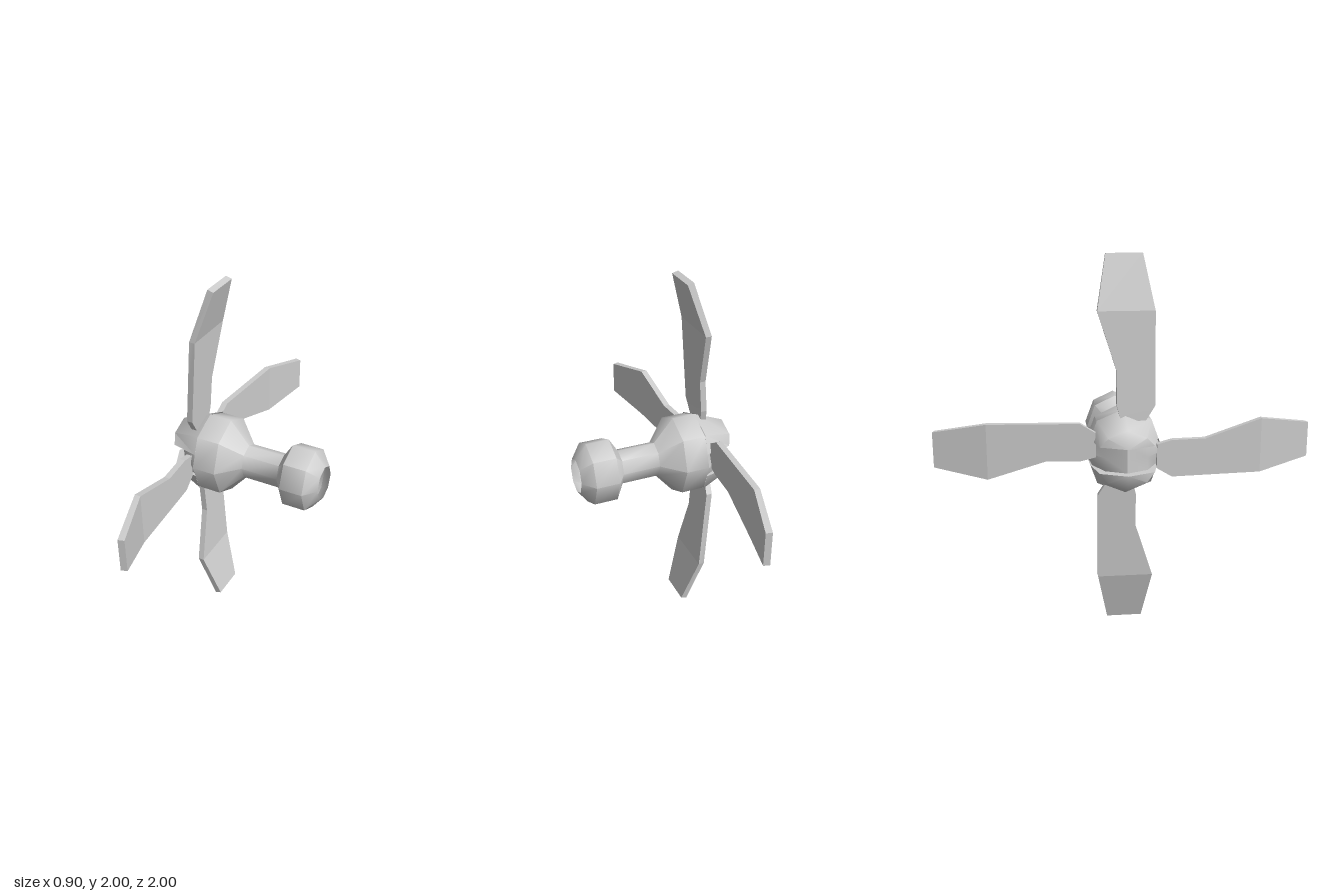
import * as THREE from 'three';
import { toCreasedNormals } from 'three/addons/utils/BufferGeometryUtils.js';

const material = new THREE.MeshStandardMaterial({ color: 0xcccccc, side: THREE.DoubleSide });
const SQUASH = 0.89; // the body is slightly narrower in z than in y
const SLOT = 0.07;   // half height of the nose slot

// Skins a list of cross-sections, each with the same number of [x, y, z] points.
function skin(rows, crease) {
  const positions = [];
  for (let i = 0; i < rows.length - 1; i++) {
    for (let j = 0; j < rows[i].length - 1; j++) {
      const a = rows[i][j], b = rows[i][j + 1], c = rows[i + 1][j + 1], d = rows[i + 1][j];
      positions.push(...a, ...b, ...c, ...a, ...c, ...d);
    }
  }
  const geometry = new THREE.BufferGeometry();
  geometry.setAttribute('position', new THREE.Float32BufferAttribute(positions, 3));
  return toCreasedNormals(geometry, crease);
}

function addMesh(parent, name, geometry) {
  const mesh = new THREE.Mesh(geometry, material);
  mesh.name = name;
  parent.add(mesh);
  return mesh;
}

// Eight-sided ring around the x axis
function ring(x, r) {
  return Array.from({ length: 9 }, (_, i) => {
    const a = (i % 8) * Math.PI / 4;
    return [x, r * Math.cos(a), -SQUASH * r * Math.sin(a)];
  });
}

// One propeller blade pointing up: stations of [radius, front edge z, back edge z, x]
function bladeGeometry() {
  const stations = [
    [0.16, 0.10, -0.03, -0.282], [0.24, 0.15, -0.05, -0.277],
    [0.42, 0.15, -0.05, -0.264], [0.72, 0.15, -0.145, -0.243], [0.995, 0.095, -0.095, -0.16],
  ];
  const t = 0.0165;
  const rows = stations.map(([r, z0, z1, x], i) => {
    const tilt = i === 4 ? 0.005 : 0;
    return [
      [x - t, r + tilt, z0], [x + t, r - tilt, z0], [x + t, r - tilt, z1],
      [x - t, r + tilt, z1], [x - t, r + tilt, z0],
    ];
  });
  // Close both ends by collapsing each end section onto its centre
  const cap = (row) => row.map(() => [0, 1, 2].map((k) => (row[0][k] + row[2][k]) / 2));
  return skin([cap(rows[0]), ...rows, cap(rows[4])], 0.2);
}

export function createModel() {
  const model = new THREE.Group();
  model.name = 'propeller';

  const body = new THREE.Group();
  body.name = 'body';
  body.position.set(0, 0.98, -0.006);
  model.add(body);

  // Hub, shaft and open end knob in one hollow shell
  const profile = [
    [-0.24, 0.23], [-0.11, 0.23], [0, 0.1], [0.21, 0.1],
    [0.26, 0.182], [0.39, 0.182], [0.45, 0.1],
  ];
  addMesh(body, 'hubAndShaft', skin(profile.map(([x, r]) => ring(x, r)), 0.95));

  // Nose: two mirrored lips, each with a flat shelf facing the slot
  const rim = [[-0.24, 0.179], [-0.39, 0.142], [-0.45, 0], [-0.39, -0.142], [-0.24, -0.179]];
  const core = [[-0.24, 0.17], [-0.35, 0.11], [-0.4, 0], [-0.35, -0.11], [-0.24, -0.17]];
  for (const s of [1, -1]) {
    const lipRow = (x, xEnd, r, zEnd) => [
      [xEnd, s * SLOT, zEnd],
      [x, s * r * 0.74, r * 0.7 * SQUASH],
      [x, s * r, 0],
      [x, s * r * 0.74, -r * 0.7 * SQUASH],
      [xEnd, s * SLOT, -zEnd],
    ];
    const tip = Array.from({ length: 5 }, () => [-0.45, s * SLOT, 0]);
    const lip = [lipRow(-0.24, -0.24, 0.23, 0.179), lipRow(-0.41, -0.39, 0.16, 0.142), tip];
    addMesh(body, s > 0 ? 'upperLip' : 'lowerLip', skin(lip, 0.95));
    const shelf = [rim, core].map((line) => line.map(([x, z]) => [x, s * SLOT, z]));
    addMesh(body, s > 0 ? 'upperShelf' : 'lowerShelf', skin(shelf, 0.3));
  }

  // Recessed wall at the bottom of the slot
  const wall = core.map(([x, z], i) => {
    const bulge = i === 0 || i === 4 ? 0.035 * Math.sign(z) : 0;
    return [[x, -SLOT, z], [x, 0, z + bulge], [x, SLOT, z]];
  });
  addMesh(body, 'slotWall', skin(wall, 0.8));

  // Four blades around the x axis
  const blade = bladeGeometry();
  const blades = new THREE.Group();
  blades.name = 'blades';
  blades.position.y = 1;
  for (let i = 0; i < 4; i++) addMesh(blades, 'blade', blade).rotation.x = i * Math.PI / 2;
  model.add(blades);

  return model;
}
